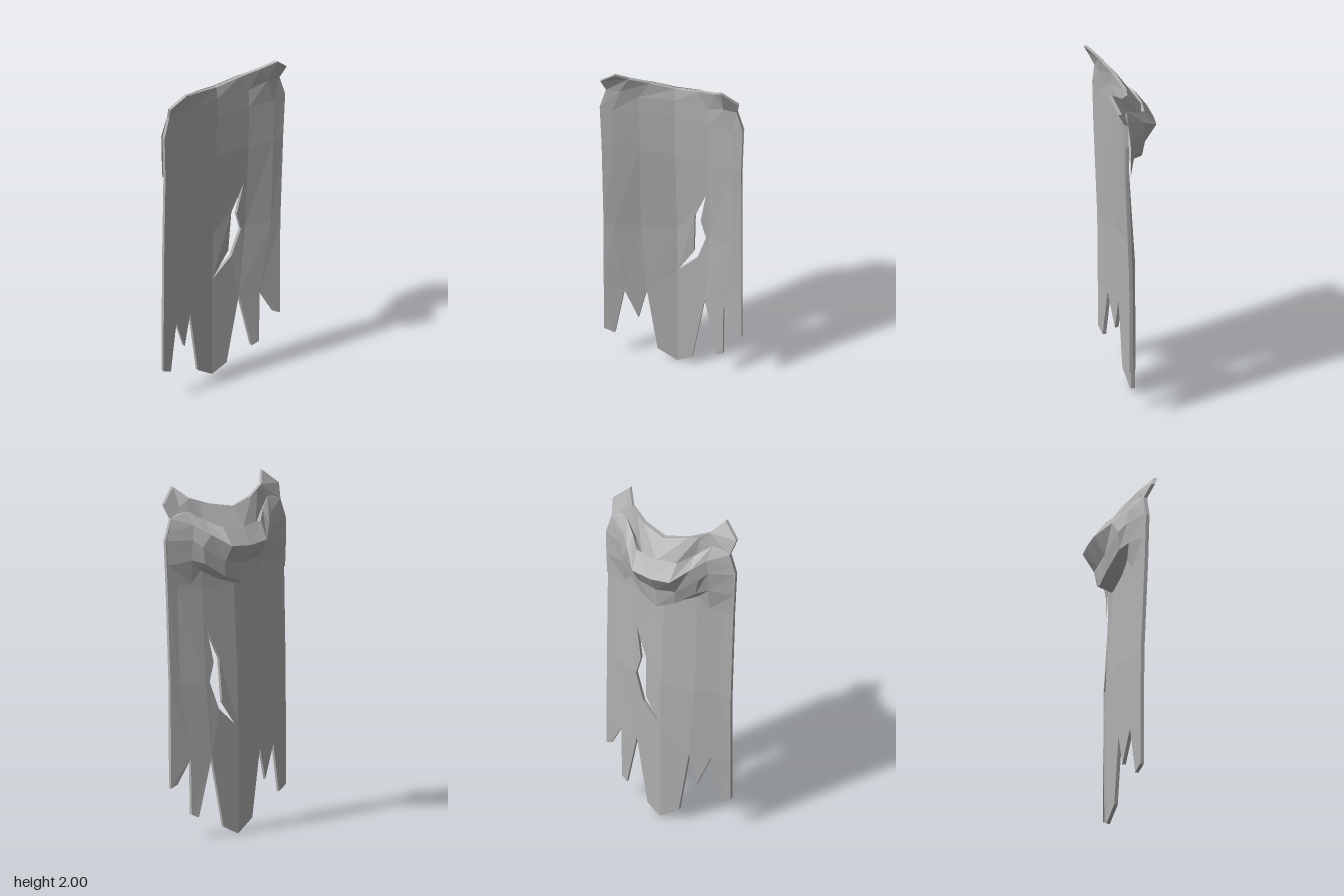
import * as THREE from 'three';

const THICK = 0.02;

// piecewise-linear lookup
function lerpTable(xs, vs, x) {
  for (let i = 1; i < xs.length; i++) {
    if (x <= xs[i]) return vs[i - 1] + (vs[i] - vs[i - 1]) * (x - xs[i - 1]) / (xs[i] - xs[i - 1]);
  }
  return vs[vs.length - 1];
}

// front surface of the cloth: wraps forward at the sides, drifts backward lower down
function clothZ(x, y) {
  const cols = [0, 0.2, 0.35, 0.42];
  const low = lerpTable(cols, [-0.03, 0, 0.05, 0.065], Math.abs(x));
  const high = lerpTable(cols, [0.02, 0.045, 0.08, 0.09], Math.abs(x));
  return low + (high - low) * THREE.MathUtils.clamp((y - 0.8) / 0.75, 0, 1);
}

// unshared corners give faceted shading
function facetGeometry(corners) {
  const g = new THREE.BufferGeometry();
  g.setAttribute('position', new THREE.Float32BufferAttribute(corners.flat(), 3));
  g.computeVertexNormals();
  return g;
}

// turns flat panels into a bent sheet with front, back and border walls
function sheetGeometry(panels) {
  const out = [], edges = new Map();
  const back = (p) => [p[0], p[1], p[2] - THICK];
  for (const panel of panels) {
    const pts = panel.map(([x, y, z]) => [x, y, z ?? clothZ(x, y)]);
    const flat = pts.map((p) => new THREE.Vector2(p[0], p[1]));
    for (const tri of THREE.ShapeUtils.triangulateShape(flat, [])) {
      let [a, b, c] = tri.map((i) => pts[i]);
      if ((b[0] - a[0]) * (c[1] - a[1]) - (b[1] - a[1]) * (c[0] - a[0]) < 0) [b, c] = [c, b];
      out.push(a, b, c, back(a), back(c), back(b));
      for (const [p, q] of [[a, b], [b, c], [c, a]]) edges.set(`${p}|${q}`, [p, q]);
    }
  }
  for (const [p, q] of edges.values()) {
    if (edges.has(`${q}|${p}`)) continue;
    out.push(p, back(p), back(q), p, back(q), q);
  }
  return facetGeometry(out);
}

function capePanels() {
  const row = (mid, half) => [...half.map(([x, ...r]) => [-x, ...r]).reverse(), [0, mid], ...half];
  const rows = [
    [-0.4, -0.29, -0.17, 0, 0.165, 0.285, 0.4].map((x) => [x, 0.46]),
    row(0.9, [[0.2, 0.9], [0.345, 0.9], [0.4, 0.9]]),
    row(1.43, [[0.2, 1.43], [0.345, 1.43], [0.405, 1.45]]),
    row(1.69, [[0.2, 1.69], [0.345, 1.7], [0.415, 1.72]]),
    row(1.8, [[0.2, 1.8, 0.044], [0.3, 1.84, 0.08], [0.38, 1.84, 0.085]]),
  ];
  const panels = [];
  for (let r = 0; r < rows.length - 1; r++) {
    for (let c = 0; c < 6; c++) {
      if (r < 2 && c === 3) continue; // torn area is added below
      const cell = [rows[r][c], rows[r][c + 1], rows[r + 1][c + 1], rows[r + 1][c]];
      if (r === 0 && c === 2) cell.splice(2, 0, [0, 0.61]);
      panels.push(cell);
    }
  }
  // cloth on both sides of the tear
  panels.push(
    [[0, 0.61], [0.1, 0.77], [0.11, 1.02], [0, 0.9]],
    [[0, 0.9], [0.11, 1.02], [0.18, 1.19], [0, 1.43]],
    [[0, 1.43], [0.18, 1.19], [0.2, 1.43]],
    [[0, 0.46], [0.165, 0.46], [0.12, 0.73], [0, 0.61]],
    [[0.165, 0.46], [0.2, 0.9], [0.175, 0.89], [0.12, 0.73]],
    [[0.2, 0.9], [0.2, 1.43], [0.18, 1.19], [0.145, 1.0], [0.175, 0.89]],
  );
  // ragged tongues of the hem
  panels.push(
    [[-0.4, 0.46], [-0.4, 0.2], [-0.34, 0.17], [-0.29, 0.46]],
    [[-0.29, 0.46], [-0.215, 0.27], [-0.17, 0.46]],
    [[-0.17, 0.46], [-0.11, 0.07], [0, 0], [0, 0.46]],
    [[0, 0.46], [0, 0], [0.09, 0.05], [0.165, 0.46]],
    [[0.165, 0.46], [0.24, 0.12], [0.28, 0.14], [0.285, 0.46]],
    [[0.285, 0.46], [0.36, 0.32], [0.4, 0.3], [0.4, 0.46]],
  );
  // collar edge with flared shoulder tips
  for (const s of [-1, 1]) {
    const m = (list) => list.map(([x, y, z]) => [x ? s * x : 0, y, z]);
    panels.push(
      m([[0, 1.8], [0.2, 1.8, 0.044], [0.14, 1.9, 0.038], [0, 1.87, 0.01]]),
      m([[0.2, 1.8, 0.044], [0.3, 1.84, 0.08], [0.25, 1.94, 0.09], [0.14, 1.9, 0.038]]),
      m([[0.3, 1.84, 0.08], [0.38, 1.84, 0.085], [0.4, 1.92, 0.125], [0.31, 2, 0.162], [0.25, 1.94, 0.09]]),
    );
  }
  return panels;
}

// lowered hood: sections from the centre out to the shoulder edge,
// each running from the collar over the rim to the underside
function hoodGeometry() {
  const half = [
    [[0, 1.87, -0.015], [0, 1.765, -0.095], [0, 1.775, -0.1], [0, 1.68, -0.165], [0, 1.57, -0.1], [0, 1.45, -0.09], [0, 1.43, 0]],
    [[0.14, 1.9, 0.015], [0.105, 1.76, -0.07], [0.13, 1.785, -0.085], [0.12, 1.69, -0.155], [0.12, 1.59, -0.09], [0.11, 1.5, -0.075], [0.11, 1.47, 0.01]],
    [[0.2, 1.915, 0.04], [0.195, 1.79, 0.015], [0.2, 1.82, -0.01], [0.2, 1.75, -0.07], [0.24, 1.68, -0.045], [0.22, 1.58, -0.035], [0.21, 1.53, 0.015]],
    [[0.25, 1.94, 0.07], [0.275, 1.86, 0.055], [0.28, 1.875, 0.05], [0.27, 1.8, 0], [0.28, 1.72, -0.003], [0.28, 1.6, 0.005], [0.27, 1.46, 0.025]],
    [[0.35, 1.87, 0.085], [0.365, 1.855, 0.075], [0.38, 1.84, 0.065], [0.4, 1.77, 0.06], [0.415, 1.72, 0.058], [0.41, 1.58, 0.055], [0.405, 1.45, 0.055]],
  ];
  const mirrored = half.slice(1).reverse().map((sec) => sec.map(([x, y, z]) => [-x, y, z]));
  const secs = [...mirrored, ...half];
  const out = [];
  for (let s = 0; s < secs.length - 1; s++) {
    for (let k = 0; k < 6; k++) {
      const a = secs[s][k], b = secs[s + 1][k], c = secs[s + 1][k + 1], d = secs[s][k + 1];
      // the diagonal is mirrored with the side
      if (s < 4) out.push(a, b, c, a, c, d);
      else out.push(a, b, d, b, c, d);
    }
  }
  return facetGeometry(out);
}

export function createModel() {
  const cloth = new THREE.MeshStandardMaterial({ color: 0xb0b0b0, side: THREE.DoubleSide });
  cloth.name = 'grey cloth';
  const group = new THREE.Group();
  group.name = 'tatteredCape';
  const cape = new THREE.Mesh(sheetGeometry(capePanels()), cloth);
  cape.name = 'capeSheet';
  const hood = new THREE.Mesh(hoodGeometry(), cloth);
  hood.name = 'loweredHood';
  group.add(cape, hood);
  return group;
}
